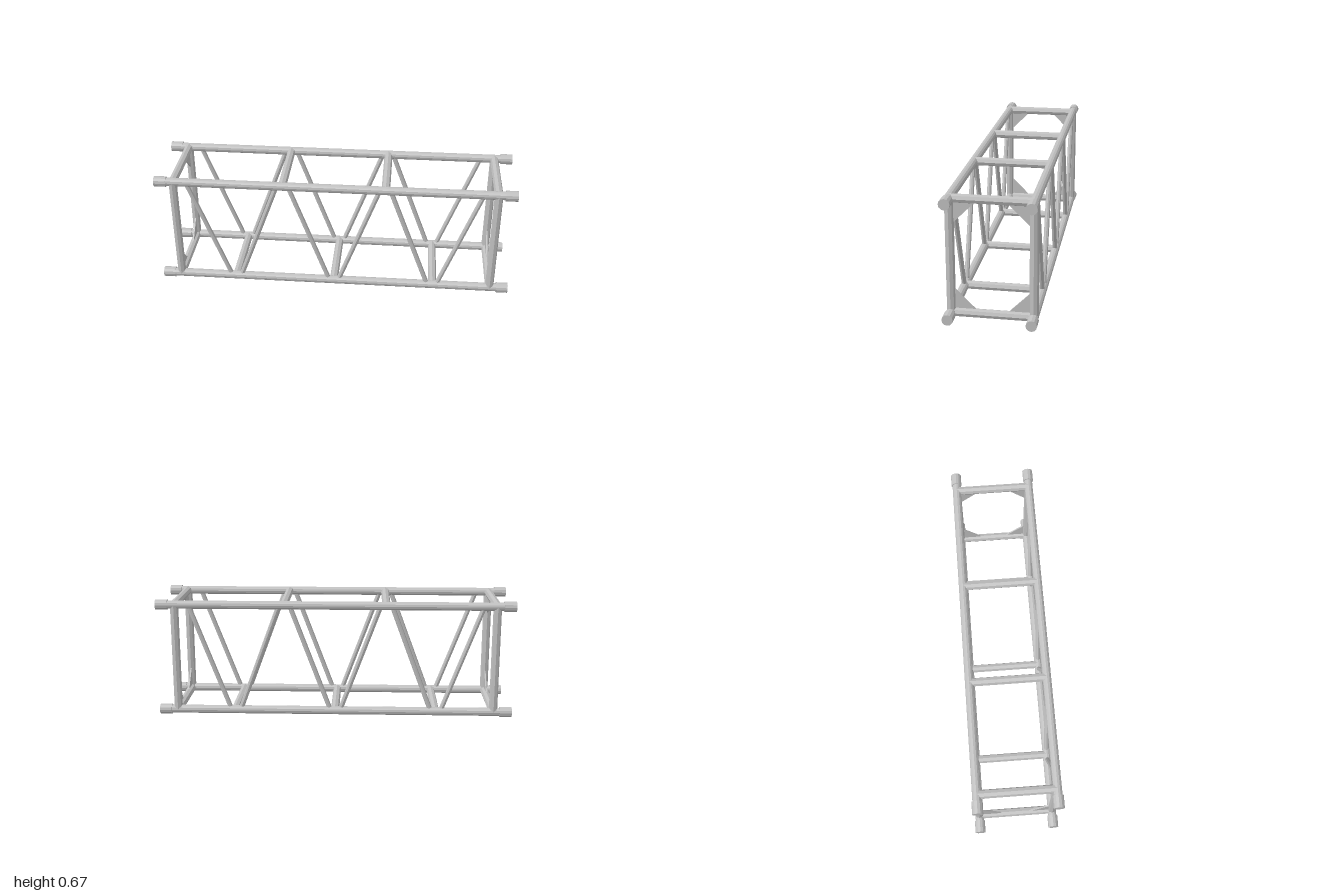
import * as THREE from 'three';

const LOW = 0.029, HIGH = 0.639, SIDE = 0.211, END = 0.897; // tube centre lines
const TUBE = 0.0235, SLEEVE = 0.029, BRACE = 0.0135; // radii

export function createModel() {
  const model = new THREE.Group();
  model.name = 'boxTruss';
  const aluminium = new THREE.MeshStandardMaterial({ color: 0xc0c0c0, flatShading: true });
  aluminium.name = 'aluminium';

  // Straight tube between two points
  function tube(name, from, to, radius, sides = 8) {
    const a = new THREE.Vector3(...from), b = new THREE.Vector3(...to);
    const dir = b.clone().sub(a);
    const mesh = new THREE.Mesh(new THREE.CylinderGeometry(radius, radius, dir.length(), sides), aluminium);
    mesh.position.copy(a).add(b).multiplyScalar(0.5);
    mesh.quaternion.setFromUnitVectors(new THREE.Vector3(0, 1, 0), dir.normalize());
    mesh.name = name;
    model.add(mesh);
  }

  // Long chords with thicker coupling sleeves at both ends
  for (const y of [LOW, HIGH]) {
    for (const z of [-SIDE, SIDE]) {
      tube('chord', [-0.97, y, z], [0.97, y, z], TUBE, 12);
      for (const s of [-1, 1]) tube('couplingSleeve', [s * 0.933, y, z], [s, y, z], SLEEVE, 12);
    }
  }

  // Cross bars: the upper and lower ones alternate between the end frames
  for (const x of [-END, -0.285, 0.285, END]) tube('upperCrossBar', [x, HIGH, -SIDE], [x, HIGH, SIDE], TUBE);
  for (const x of [-END, -0.57, 0, 0.57, END]) tube('lowerCrossBar', [x, LOW, -SIDE], [x, LOW, SIDE], TUBE);

  // End posts and zigzag braces on both faces
  const braces = [[-0.819, -0.605], [-0.323, -0.536], [-0.248, -0.035], [0.247, 0.033], [0.318, 0.532], [0.813, 0.599]];
  for (const z of [-SIDE, SIDE]) {
    for (const x of [-END, END]) tube('endPost', [x, LOW, z], [x, HIGH, z], TUBE);
    for (const [top, bottom] of braces) tube('diagonalBrace', [top, 0.623, z], [bottom, 0.049, z], BRACE);
  }

  // Triangular gusset plates in the corners of the end frames
  const thick = 0.008;
  for (const x of [-END, END]) {
    for (const sz of [-1, 1]) {
      for (const sy of [-1, 1]) {
        const cz = sz * 0.19, cy = sy > 0 ? HIGH - 0.0215 : LOW + 0.0245;
        const shape = new THREE.Shape([
          new THREE.Vector2(-cz, cy),
          new THREE.Vector2(-cz + sz * 0.103, cy),
          new THREE.Vector2(-cz, cy - sy * 0.103),
        ]);
        const geometry = new THREE.ExtrudeGeometry(shape, { depth: thick, bevelEnabled: false });
        geometry.translate(0, 0, -thick / 2).rotateY(Math.PI / 2);
        const gusset = new THREE.Mesh(geometry, aluminium);
        gusset.position.x = x;
        gusset.name = 'cornerGusset';
        model.add(gusset);
      }
    }
  }
  return model;
}
